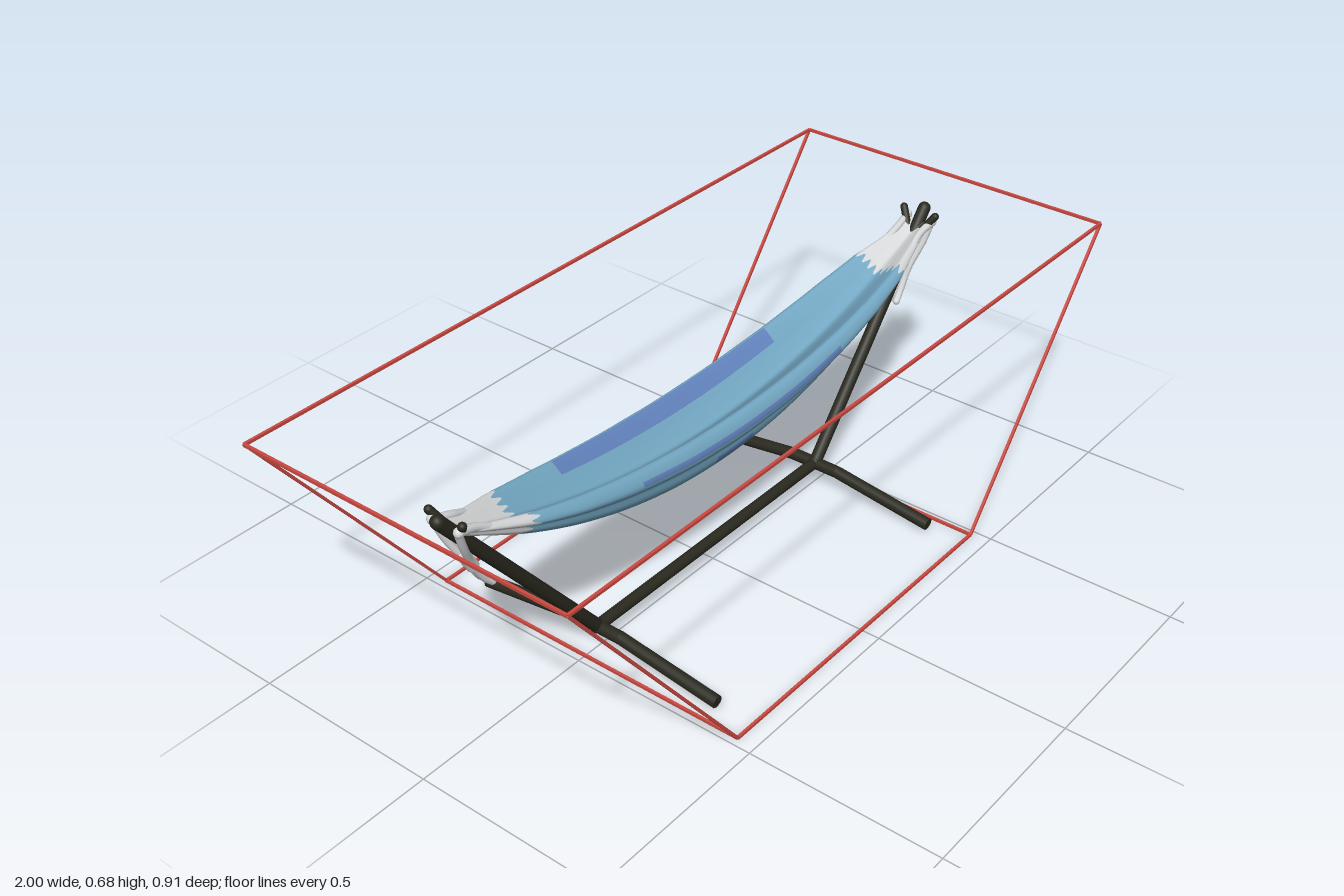
import * as THREE from 'three';

const mat = (name, color, side = THREE.FrontSide) => {
  const m = new THREE.MeshStandardMaterial({ color, side });
  m.name = name;
  return m;
};
const V = (x, y, z) => new THREE.Vector3(x, y, z);

export function createModel() {
  const red = mat('frame red', 0xcc4a42);
  const dark = mat('stand dark olive', 0x29291f);
  const blue = mat('cloth blue', 0x74a8c4, THREE.DoubleSide);
  const violet = mat('stripe violet blue', 0x6283bd, THREE.DoubleSide);
  const grey = mat('rope grey', 0xd4d6d7, THREE.DoubleSide);

  const root = new THREE.Group();
  root.name = 'hammockWithStand';
  const add = (name, geometry, material) => {
    const mesh = new THREE.Mesh(geometry, material);
    mesh.name = name;
    root.add(mesh);
    return mesh;
  };

  // Straight member between two points, round or square
  function bar(name, a, b, size, material, round = true) {
    const len = a.distanceTo(b);
    const geo = round ? new THREE.CylinderGeometry(size, size, len, 16)
      : new THREE.BoxGeometry(size, len, size);
    const mesh = add(name, geo, material);
    mesh.position.copy(a).add(b).multiplyScalar(0.5);
    mesh.quaternion.setFromUnitVectors(V(0, 1, 0), b.clone().sub(a).normalize());
  }
  const joint = (name, p, r, material) =>
    add(name, new THREE.SphereGeometry(r, 16, 10), material).position.copy(p);

  // Thin outer frame: two rectangles joined by slanted edges
  const zF = 0.452, T = 0.007;
  const levels = [[0.48, 0.005], [0.996, 0.677]];
  for (const [x, y] of levels) {
    for (const s of [-1, 1]) {
      bar('frameLongEdge', V(-x, y, s * zF), V(x, y, s * zF), T, red, false);
      bar('frameCrossEdge', V(s * x, y, -zF), V(s * x, y, zF), T, red, false);
    }
  }
  for (const sx of [-1, 1]) for (const sz of [-1, 1]) {
    bar('frameSlantedEdge', V(sx * 0.48, 0.005, sz * zF), V(sx * 0.996, 0.677, sz * zF), T, red, false);
  }

  // Stand: base beam, bent feet, leaning posts with prongs
  bar('baseBeam', V(-0.43, 0.061, 0), V(0.43, 0.061, 0), 0.015, dark);
  for (const s of [-1, 1]) {
    const x = s * 0.43;
    bar('footCentre', V(x, 0.06, -0.07), V(x, 0.06, 0.07), 0.016, dark);
    for (const k of [-1, 1]) {
      joint('footBend', V(x, 0.06, k * 0.07), 0.016, dark);
      bar('foot', V(x, 0.06, k * 0.07), V(x, 0.021, k * 0.355), 0.016, dark);
      bar('prong', V(s * 0.83, 0.55, 0), V(s * 0.866, 0.62, k * 0.048), 0.01, dark);
      joint('prongTip', V(s * 0.866, 0.62, k * 0.048), 0.01, dark);
    }
    joint('postJoint', V(x, 0.061, 0), 0.019, dark);
    bar('post', V(x, 0.061, 0), V(s * 0.888, 0.622, 0), 0.0165, dark);
    joint('postTip', V(s * 0.888, 0.622, 0), 0.0165, dark);
  }

  // Folded cloth cross-section (z, height) as fractions: belly, side fold, rolled rim, valley
  const half = [[0.4, 0.02], [0.59, 0.2], [0.66, 0.45], [0.87, 0.56], [1, 0.72], [0.94, 0.88],
    [0.78, 1], [0.52, 0.85], [0.26, 0.65]];
  const loop = [[0, 0], ...half, [0, 0.52], ...half.slice().reverse().map(([z, h]) => [-z, h])];
  const section = new THREE.CatmullRomCurve3(loop.map(([z, h]) => V(0, h, z)), true).getSpacedPoints(100);
  section.pop();

  // Rows along the length; the gathered ends lie beyond the middle rows
  const endX = [0.71, 0.74, 0.77, 0.8, 0.83, 0.86];
  const rows = endX.slice().reverse().map(x => -x);
  for (let i = 0; i <= 40; i++) rows.push(-0.68 + 0.034 * i);
  rows.push(...endX);

  const widthKeys = [[0, 0.115], [0.2, 0.113], [0.4, 0.105], [0.55, 0.094], [0.68, 0.077], [0.76, 0.055], [0.87, 0.03]];
  function widthAt(x) {
    const k = widthKeys.findIndex(p => p[0] > x);
    const [a, b] = [widthKeys[k - 1], widthKeys[k]];
    return THREE.MathUtils.lerp(a[1], b[1], (x - a[0]) / (b[0] - a[0]));
  }

  // Violet areas: inside the back rim, a thin line on the front fold, a patch on the belly
  function hasStripe(x, z, h) {
    if (z < 0) return x > -0.48 && x < 0.32 && z > -0.72 && z < -0.45 && h > 0.7;
    return (Math.abs(x) < 0.38 && z > 0.9 && h > 0.7 && h < 0.8) ||
      (Math.abs(x) < 0.06 && z > 0.5 && h > 0.13 && h < 0.27);
  }

  const n = section.length, pos = [], cells = [[], [], []];
  rows.forEach((x0, i) => section.forEach((p, j) => {
    const jag = Math.abs(Math.abs(x0) - 0.68) < 0.001 ? 0.014 * Math.sin(j * 1.2) : 0;
    const x = x0 + Math.sign(x0) * jag;
    const top = 0.48 + 0.16 * x * x, bottom = 0.33 + 0.335 * x * x;
    pos.push(x, bottom + p.y * (top - bottom), p.z * widthAt(Math.abs(x)));
    if (i === rows.length - 1) return;
    const a = i * n + j, b = i * n + (j + 1) % n;
    const mid = (x0 + rows[i + 1]) / 2;
    const part = Math.abs(mid) > 0.68 ? 2 : hasStripe(mid, p.z, p.y) ? 1 : 0;
    cells[part].push(a, a + n, b, b, a + n, b + n);
  }));
  const cloth = new THREE.BufferGeometry();
  cloth.setAttribute('position', new THREE.Float32BufferAttribute(pos, 3));
  cloth.setIndex(cells.flat());
  let start = 0;
  cells.forEach((c, k) => { cloth.addGroup(start, c.length, k); start += c.length; });
  cloth.computeVertexNormals();
  add('hammockCloth', cloth, [blue, violet, grey]);

  // Ropes at each end: links to the prongs and a hanging tail outside the post
  const tube = (name, pts, r) =>
    add(name, new THREE.TubeGeometry(new THREE.CatmullRomCurve3(pts), 20, r, 8), grey);
  for (const s of [-1, 1]) {
    for (const k of [-1, 1]) {
      tube('endRope', [V(s * 0.77, 0.562, k * 0.04), V(s * 0.82, 0.586, k * 0.034),
        V(s * 0.868, 0.6, k * 0.038)], 0.01);
      tube('hangingRope', [V(s * 0.87, 0.602, k * 0.037), V(s * 0.848, 0.545, k * 0.026),
        V(s * 0.815, 0.48, k * 0.009), V(s * 0.78, 0.42, k * 0.008), V(s * 0.762, 0.402, k * 0.011)], 0.0095);
      joint('ropeLoop', V(s * 0.868, 0.601, k * 0.038), 0.012, grey);
      joint('tailTip', V(s * 0.762, 0.402, k * 0.011), 0.0095, grey);
    }
    bar('tailKnot', V(s * 0.828, 0.505, 0), V(s * 0.803, 0.46, 0), 0.015, grey);
  }
  return root;
}
